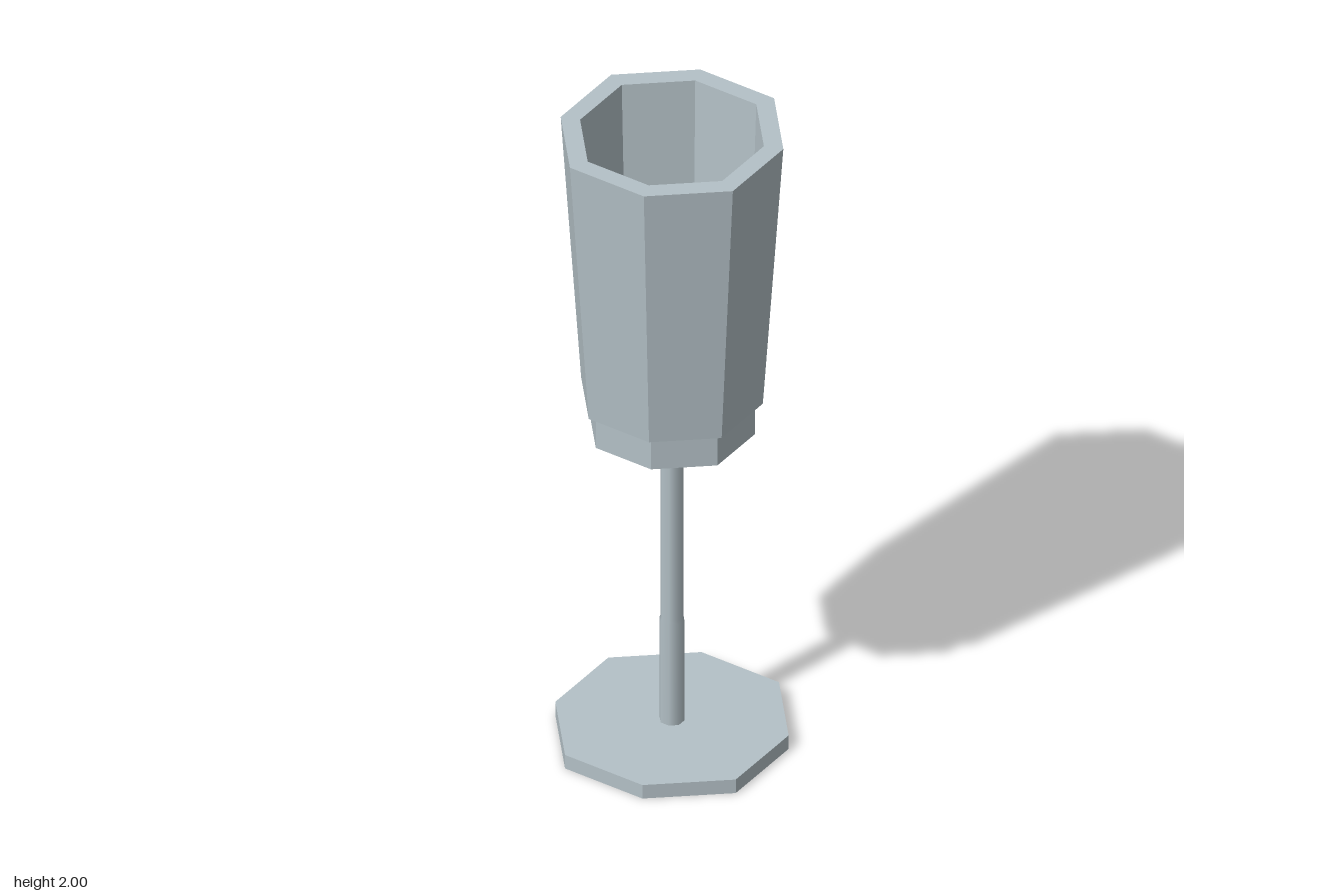
import * as THREE from 'three';

const SIDES = 8;

// Eight-sided turned shape; diagonal corners sit slightly further out than those on the axes.
function turned(profile, smooth = false) {
  const points = profile.map(([r, y]) => new THREE.Vector2(r, y));
  let geometry = new THREE.LatheGeometry(points, SIDES);
  const pos = geometry.attributes.position;
  for (let i = 0; i < pos.count; i++) {
    const x = pos.getX(i), z = pos.getZ(i);
    if (Math.abs(x) > 1e-4 && Math.abs(z) > 1e-4) {
      pos.setX(i, x * 1.035);
      pos.setZ(i, z * 1.035);
    }
  }
  if (!smooth) {
    geometry = geometry.toNonIndexed();
    geometry.computeVertexNormals();
  }
  return geometry;
}

export function createModel() {
  const group = new THREE.Group();
  const glass = new THREE.MeshStandardMaterial({ color: 0xb4c1c7 });
  glass.name = 'pale blue-grey glass';

  const add = (name, geometry) => {
    const mesh = new THREE.Mesh(geometry, glass);
    mesh.name = name;
    group.add(mesh);
  };

  // Flat octagonal foot
  add('foot', turned([[0, 0], [0.33, 0], [0.33, 0.045], [0, 0.045]]));

  // Slender stem with a hint of taper
  add('stem', turned([[0.035, 0.04], [0.035, 0.38], [0.032, 0.39], [0.032, 1.12]], true));

  // Bowl: recessed underside, collar, tapered wall, rim, inner wall and funnel floor
  add('bowl', turned([
    [0, 1.115], [0.15, 1.115], [0.235, 1.035],
    [0.235, 1.13], [0.257, 1.14], [0.315, 2],
    [0.26, 2], [0.235, 1.19], [0.15, 1.13], [0, 1.13],
  ]));

  return group;
}
